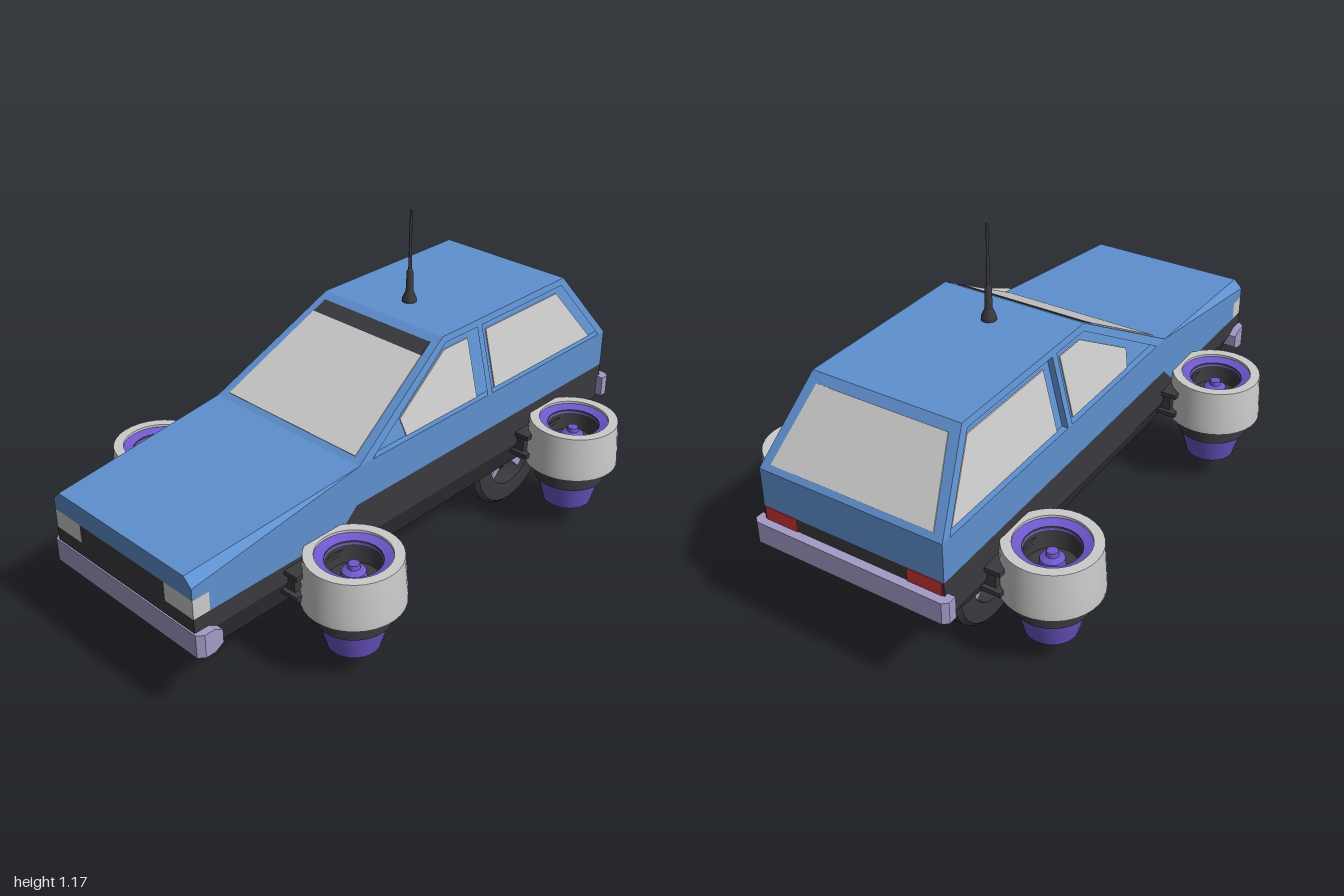
import * as THREE from 'three';
import { ConvexGeometry } from 'three/addons/geometries/ConvexGeometry.js';
import { toCreasedNormals } from 'three/addons/utils/BufferGeometryUtils.js';

const material = (color) => new THREE.MeshStandardMaterial({ color });
const blue = material(0x5f90cf), dark = material(0x3a3a3f), grey = material(0xcccccc);
const purple = material(0x6f57cc), lavender = material(0xa59bc8), red = material(0xcc3333);

export function createModel() {
  const model = new THREE.Group();

  function add(name, geometry, mat, parent = model) {
    const mesh = new THREE.Mesh(geometry, mat);
    mesh.name = name;
    parent.add(mesh);
    return mesh;
  }
  // Convex solid from [x, y, z] corners, mirrored across x
  function hull(name, mat, corners) {
    const pts = [];
    for (const [x, y, z] of corners) pts.push(new THREE.Vector3(x, y, z), new THREE.Vector3(-x, y, z));
    return add(name, new ConvexGeometry(pts), mat);
  }
  function box(name, mat, [x0, x1], [y0, y1], [z0, z1], parent = model) {
    const g = new THREE.BoxGeometry(x1 - x0, y1 - y0, z1 - z0);
    g.translate((x0 + x1) / 2, (y0 + y1) / 2, (z0 + z1) / 2);
    return add(name, g, mat, parent);
  }
  function lathe(name, mat, profile, parent, segments = 32) {
    const g = new THREE.LatheGeometry(profile.map(([r, y]) => new THREE.Vector2(r, y)), segments);
    return add(name, toCreasedNormals(g, 0.5), mat, parent);
  }

  // Lower body
  const W = 0.326;
  hull('underbody', dark, [[W, 0.335, 0.99], [W, 0.335, -0.97], [0.262, 0.207, 0.925], [0.262, 0.207, -0.665]]);
  hull('lowerBody', dark, [[W, 0.335, 0.99], [W, 0.335, -0.97], [W, 0.4, 0.99], [W, 0.4, -0.97]]);
  hull('rearSill', dark, [[W, 0.4, 0.41], [W, 0.465, 0.34], [W, 0.4, -0.97], [W, 0.465, -0.97]]);
  hull('frontFender', blue, [[W, 0.4, 0.41], [W, 0.465, 0.34], [W, 0.4, 0.93], [W, 0.465, 0.93]]);
  box('grille', dark, [-0.2, 0.2], [0.4, 0.465], [0.92, 0.99]);

  // Upper body with the bevelled hood
  hull('upperBody', blue, [[W, 0.465, 0.99], [W, 0.505, 0.99], [0.295, 0.535, 0.99],
    [W, 0.6, 0.33], [W, 0.6, -0.97], [W, 0.465, -0.97]]);

  // Lights
  for (const s of [-1, 1]) {
    const xs = (a, b) => (s > 0 ? [a, b] : [-b, -a]);
    box('headlight', grey, xs(0.2, W), [0.4, 0.465], [0.93, 0.99]);
    box('tailLight', red, xs(0.2, 0.32), [0.4, 0.465], [-0.973, -0.95]);
  }

  // Bumpers with chamfered corners
  hull('frontBumper', lavender, [0.272, 0.352].flatMap((y) => [[0.352, y, 0.94], [0.352, y, 0.975], [0.335, y, 0.995]])
    .concat([[0.352, 0.29, 0.91], [0.352, 0.335, 0.91]]));
  hull('rearBumper', lavender, [0.345, 0.42].flatMap((y) => [[0.352, y, -0.955], [0.352, y, -0.985], [0.335, y, -1]]));

  // Cabin core, set in behind the side frames
  const recess = 0.022;
  const sideX = (y) => Math.min(W, W - (y - 0.6) * 0.251);
  const windshieldZ = (y) => 0.33 - (y - 0.6) * 1.765;
  const rearZ = (y) => -0.97 + (y - 0.6) * 0.765;
  hull('cabin', blue, [0.6, 0.855].flatMap((y) =>
    [[sideX(y) - recess, y, windshieldZ(y)], [sideX(y) - recess, y, rearZ(y)]]));

  // Side frames and panes: [z, y] outlines laid on the leaning cabin side
  const frameOutline = [[0.33, 0.597], [0.33, 0.6], [-0.12, 0.855], [-0.775, 0.855], [-0.97, 0.6], [-0.97, 0.597]];
  const openings = [
    [[0.27, 0.6], [-0.13, 0.833], [-0.29, 0.833], [-0.29, 0.6]],
    [[-0.315, 0.6], [-0.315, 0.833], [-0.757, 0.833], [-0.935, 0.6]],
  ];
  const panes = [
    [[0.095, 0.601], [0.11, 0.662], [-0.135, 0.802], [-0.255, 0.802], [-0.255, 0.601]],
    [[-0.35, 0.601], [-0.35, 0.802], [-0.745, 0.802], [-0.9, 0.601]],
  ];
  function sidePanel(name, mat, s, outline, holes, from, to) {
    const flat = (pts) => pts.map(([z, y]) => new THREE.Vector2(-s * z, y));
    const shape = new THREE.Shape(flat(outline));
    shape.holes = holes.map((h) => new THREE.Path(flat(h)));
    const g = new THREE.ExtrudeGeometry(shape, { depth: to - from, bevelEnabled: false });
    const p = g.attributes.position;
    for (let i = 0; i < p.count; i++) {
      const a = p.getX(i), y = p.getY(i), d = p.getZ(i);
      p.setXYZ(i, s * (sideX(y) + from + d), y, -s * a);
    }
    g.computeVertexNormals();
    add(name, g, mat);
  }
  for (const s of [-1, 1]) {
    sidePanel('sideFrame', blue, s, frameOutline, openings, -recess - 0.004, 0);
    for (const pane of panes) sidePanel('sideWindow', grey, s, pane, [], -recess - 0.004, -recess + 0.004);
  }

  // Windshield, sun strip and rear window
  function slopedPane(name, mat, zAt, [ny, nz], rows) {
    hull(name, mat, rows.flatMap(([x, y]) => [0.003, -0.01].map((d) => [x, y + ny * d, zAt(y) + nz * d])));
  }
  slopedPane('windshield', grey, windshieldZ, [0.87, 0.493], [[0.29, 0.612], [0.243, 0.81]]);
  slopedPane('sunStrip', dark, windshieldZ, [0.87, 0.493], [[0.243, 0.81], [0.236, 0.838]]);
  slopedPane('rearWindow', grey, rearZ, [0.607, -0.795], [[0.29, 0.617], [0.232, 0.828]]);

  // Antenna
  const antenna = lathe('antenna', dark, [[0.025, 0], [0.025, 0.012], [0.013, 0.04], [0.011, 0.11],
    [0.006, 0.12], [0.004, 0.325], [0, 0.325]], model, 16);
  antenna.position.set(0, 0.853, -0.255);

  // Landing wheels: one in front, two behind
  for (const [x, z] of [[0, 0.6], [-0.195, -0.58], [0.195, -0.58]]) {
    const wheel = new THREE.Group();
    wheel.name = 'wheel';
    lathe('tire', dark, [[0.118, -0.035], [0.185, -0.035], [0.2, -0.02], [0.2, 0.02],
      [0.185, 0.035], [0.118, 0.035], [0.118, -0.035]], wheel).rotation.z = Math.PI / 2;
    add('hub', new THREE.CylinderGeometry(0.03, 0.03, 0.05, 16), lavender, wheel).rotation.z = Math.PI / 2;
    for (let i = 0; i < 4; i++) {
      const spoke = box('spoke', lavender, [-0.015, 0.015], [0.02, 0.125], [-0.013, 0.013], wheel);
      spoke.rotation.x = Math.PI / 4 + i * Math.PI / 2;
    }
    wheel.position.set(x, 0.203, z);
    model.add(wheel);
  }

  // Thrusters with their brackets
  for (const s of [-1, 1]) for (const z of [0.49, -0.62]) {
    const thruster = new THREE.Group();
    thruster.name = 'thruster';
    lathe('shroud', grey, [[0.1, 0.27], [0.163, 0.27], [0.163, 0.29], [0.153, 0.43], [0.12, 0.43], [0.12, 0.41]], thruster);
    lathe('intakeRing', purple, [[0.122, 0.422], [0.09, 0.41], [0.088, 0.4]], thruster);
    lathe('intakeBore', dark, [[0.09, 0.412], [0.08, 0.34], [0, 0.34]], thruster);
    lathe('intakeHub', purple, [[0.042, 0.335], [0.038, 0.37], [0.02, 0.38], [0.018, 0.395], [0, 0.395]], thruster);
    lathe('collar', dark, [[0, 0.205], [0.123, 0.205], [0.123, 0.275]], thruster);
    lathe('nozzle', purple, [[0, 0.106], [0.085, 0.106], [0.113, 0.207]], thruster);
    thruster.position.set(s * 0.458, 0, z);
    model.add(thruster);

    const bracket = new THREE.Group();
    bracket.name = 'thrusterBracket';
    for (const y of [0.295, 0.37]) box('bracketPlate', dark, [0.31, 0.38], [y, y + 0.016], [-0.16, 0.16], bracket);
    box('bracketWeb', dark, [0.31, 0.355], [0.3, 0.38], [-0.145, 0.145], bracket);
    bracket.position.z = z;
    if (s < 0) bracket.rotation.y = Math.PI;
    model.add(bracket);
  }
  return model;
}
